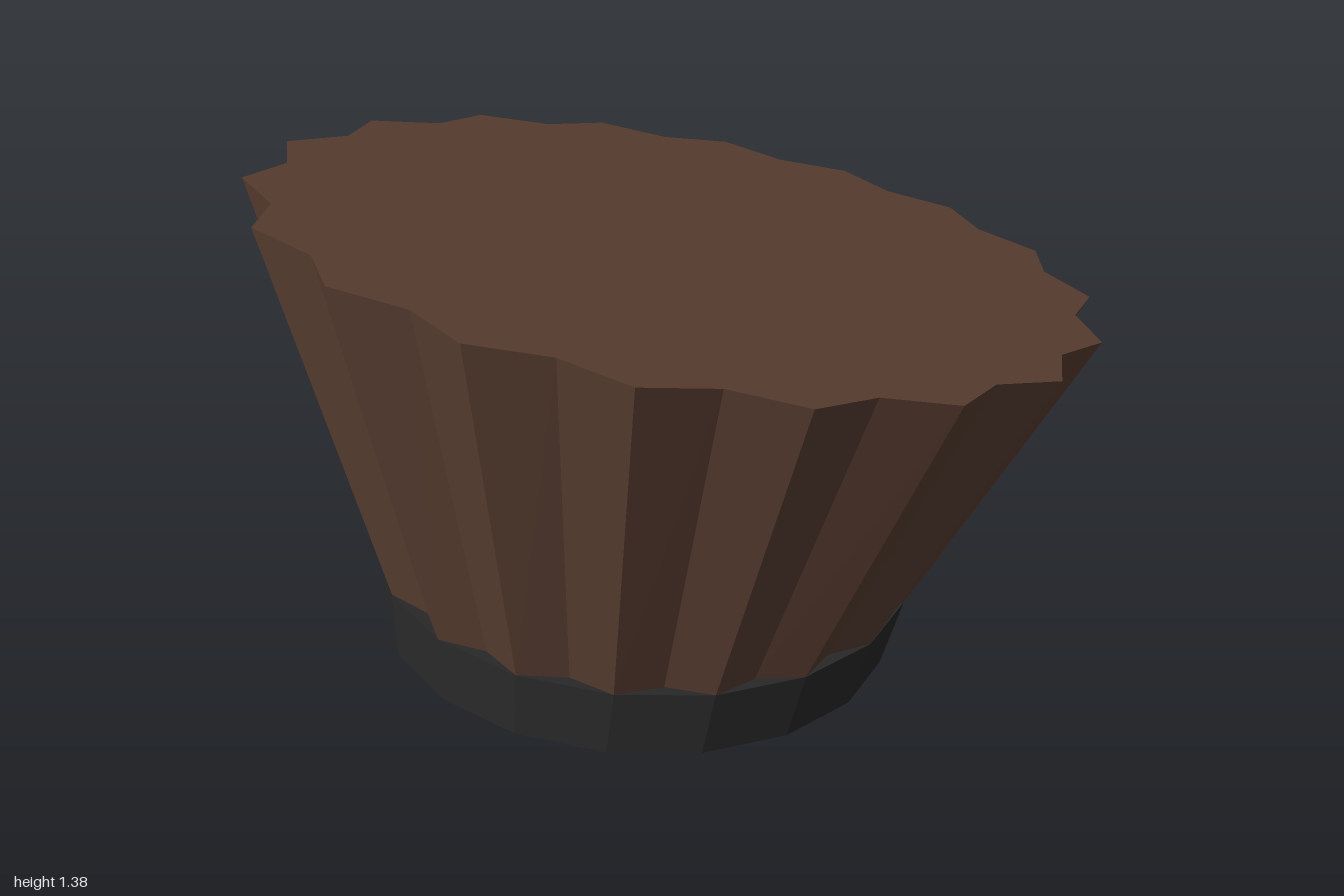
import * as THREE from 'three';

const FLUTES = 18;

// One tilted elliptical ring of points: half-widths a (x) and b (z), centred at
// height y and depth z, rising by slope towards +z. Every second point is
// pulled inwards to radius factor valley when it is given.
function ring(a, b, y, z, slope, valley) {
  const n = valley ? FLUTES * 2 : FLUTES;
  return Array.from({ length: n }, (_, i) => {
    const t = (i / n) * Math.PI * 2;
    const k = valley && i % 2 ? valley : 1;
    const dz = Math.sin(t) * b * k;
    return new THREE.Vector3(Math.cos(t) * a * k, y + slope * dz, z + dz);
  });
}

// Joins successive rings with faceted walls
function loft(rings) {
  const points = [];
  for (let r = 0; r < rings.length - 1; r++) {
    const lo = rings[r], hi = rings[r + 1];
    for (let i = 0; i < lo.length; i++) {
      const j = (i + 1) % lo.length;
      points.push(lo[i], hi[i], lo[j], hi[i], hi[j], lo[j]);
    }
  }
  return toGeometry(points);
}

// Closes a ring with a fan around its centre, facing up
function fan(rim, centre) {
  const points = [];
  rim.forEach((p, i) => points.push(p, centre, rim[(i + 1) % rim.length]));
  return toGeometry(points);
}

function toGeometry(points) {
  const geometry = new THREE.BufferGeometry().setFromPoints(points);
  geometry.computeVertexNormals();
  return geometry;
}

export function createModel() {
  const group = new THREE.Group();
  const brown = new THREE.MeshStandardMaterial({
    color: 0x5c4033, flatShading: true, side: THREE.DoubleSide,
  });
  const black = new THREE.MeshStandardMaterial({ color: 0x2a2a2a, flatShading: true });

  const add = (name, geometry, material) => {
    const mesh = new THREE.Mesh(geometry, material);
    mesh.name = name;
    group.add(mesh);
  };

  // Fluted wall flaring from the band to the slanted top
  const foot = ring(0.61, 0.678, 0.28, 0.122, 0.157, 0.935);
  const rim = ring(0.92, 1.015, 1.115, 0, 0.265, 0.935);
  add('flutedWall', loft([foot, rim]), brown);

  // Flat slanted lid
  add('topCap', fan(rim, new THREE.Vector3(0, 1.115, 0)), brown);

  // Band around the foot: outer wall, top, inner wall and hollowed underside
  const outerBottom = ring(0.585, 0.647, 0.105, 0.153, 0.165);
  const outerTop = ring(0.61, 0.678, 0.28, 0.122, 0.157);
  const innerTop = ring(0.475, 0.54, 0.28, 0.122, 0.157);
  const innerBottom = ring(0.46, 0.515, 0.135, 0.153, 0.165);
  add('baseBand', loft([outerBottom, outerTop, innerTop, innerBottom, outerBottom]), black);

  return group;
}
